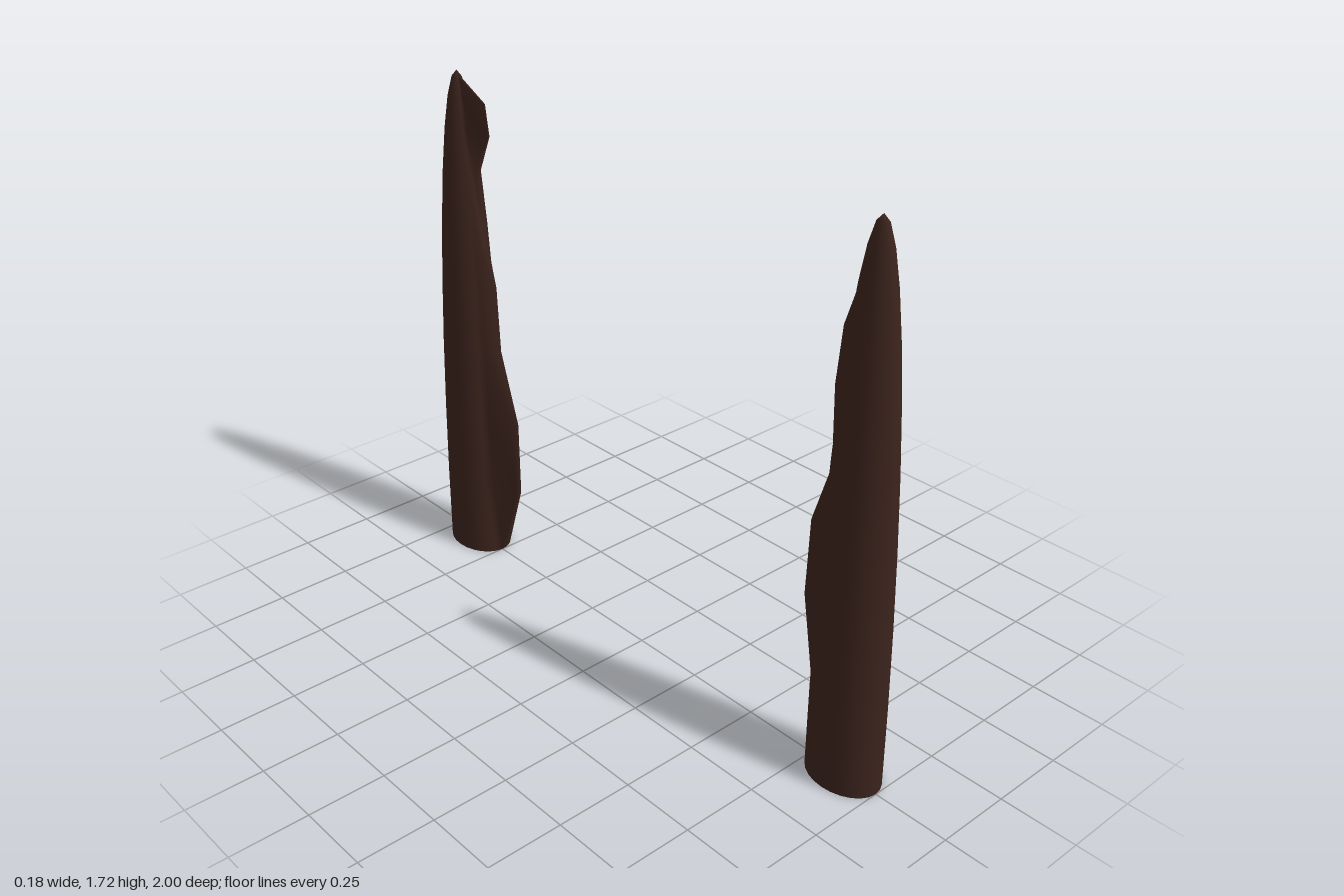
import * as THREE from 'three';
import { mergeVertices } from 'three/addons/utils/BufferGeometryUtils.js';

const SIDES = 24, RINGS = 10, HEIGHT = 1.715, RX = 0.092, RZ = 0.125;
const material = new THREE.MeshStandardMaterial({ color: 0x3b231c });

// Tall tapering shaft; the columns facing `inward` are pulled out into a ragged ridge.
// bulge: ridge depth per ring, from base to tip. shoulder: share given to the next column.
function shaft(inward, bulge, shoulder) {
  const geo = new THREE.SphereGeometry(1, SIDES, RINGS, 0, Math.PI * 2, 0, Math.PI / 2);
  const p = geo.attributes.position;
  for (let i = 0; i < p.count; i++) {
    const x = p.getX(i), y = p.getY(i), z = p.getZ(i);
    const ring = Math.round(Math.asin(Math.min(1, y)) / (Math.PI / 2) * RINGS);
    const column = Math.round(Math.atan2(x, inward * z) / (Math.PI * 2) * SIDES);
    const weight = column === 0 || column === 1 ? 1 : column === 2 ? shoulder : 0;
    p.setXYZ(i, x * RX, y * HEIGHT, z * RZ + inward * weight * bulge[ring]);
  }
  geo.deleteAttribute('uv');
  geo.deleteAttribute('normal');
  const welded = mergeVertices(geo, 1e-5);
  welded.computeVertexNormals();
  return new THREE.Mesh(welded, material);
}

function spike(name, z, bulge, shoulder) {
  const group = new THREE.Group();
  group.name = name;
  const body = shaft(-Math.sign(z), bulge, shoulder);
  body.name = name + 'Shaft';
  // flat underside
  const base = new THREE.Mesh(
    new THREE.CircleGeometry(1, SIDES).rotateX(Math.PI / 2).scale(RX, 1, RZ), material);
  base.name = name + 'Base';
  group.add(body, base);
  group.position.z = z;
  return group;
}

export function createModel() {
  const model = new THREE.Group();
  model.name = 'spikePair';
  model.add(
    spike('frontSpike', 0.875, [0, 0, 0.066, 0.064, 0, 0.032, 0.03, 0, 0, 0, 0], 0),
    spike('backSpike', -0.875, [0, 0.1, 0.104, 0.034, 0.036, 0, 0, 0.09, 0.096, 0, 0], 0.2),
  );
  return model;
}
